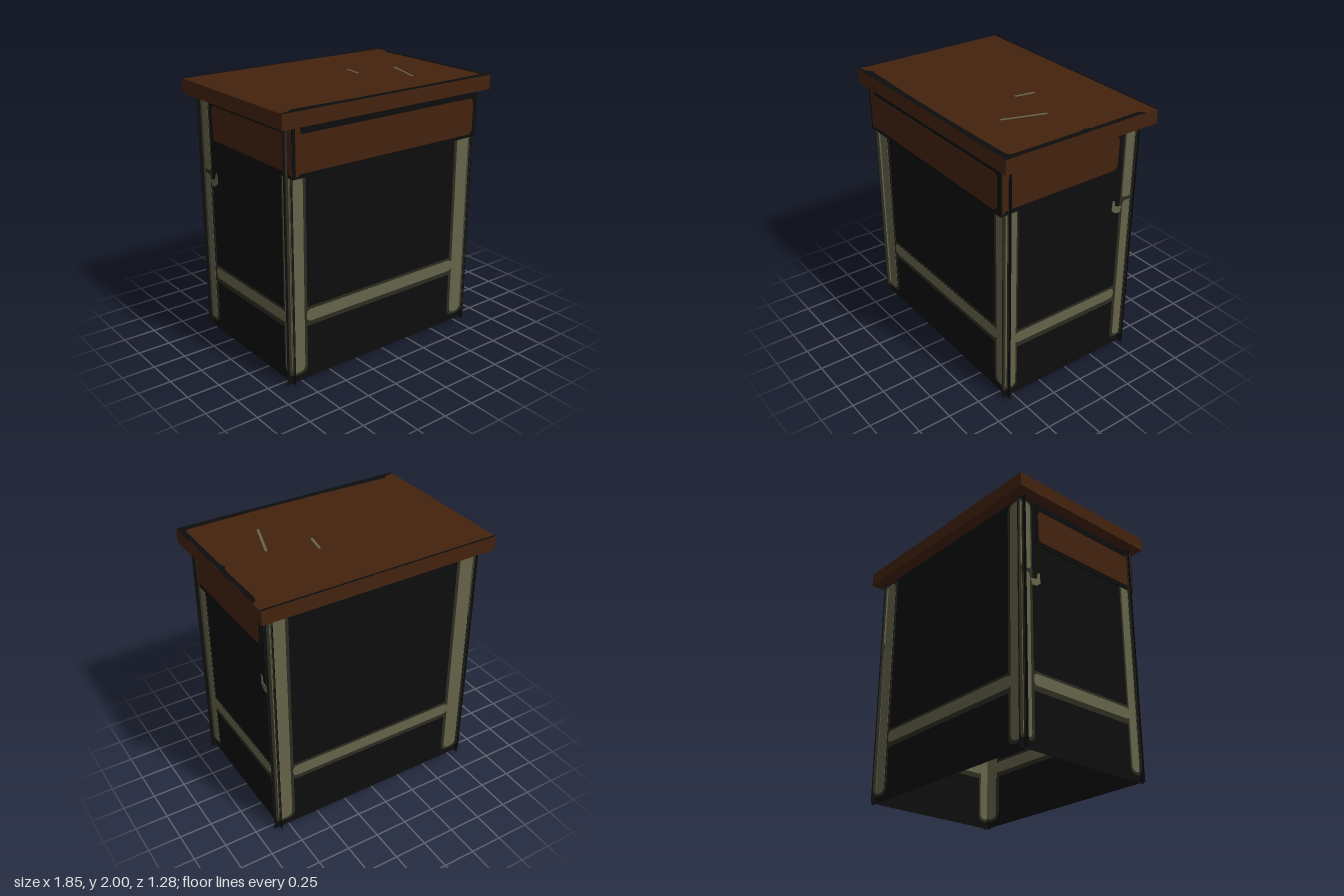
import * as THREE from 'three';

const material = (name, color, side = THREE.FrontSide) => {
  const m = new THREE.MeshStandardMaterial({ color, side });
  m.name = name;
  return m;
};

// Polygon outline from a few points
const outline = (pts) => new THREE.Shape(pts.map(([x, y]) => new THREE.Vector2(x, y)));

// Bar with rounded corners
function bar(x0, y0, x1, y1, r) {
  const s = new THREE.Shape();
  s.moveTo(x0 + r, y0);
  s.lineTo(x1 - r, y0);
  s.quadraticCurveTo(x1, y0, x1, y0 + r);
  s.lineTo(x1, y1 - r);
  s.quadraticCurveTo(x1, y1, x1 - r, y1);
  s.lineTo(x0 + r, y1);
  s.quadraticCurveTo(x0, y1, x0, y1 - r);
  s.lineTo(x0, y0 + r);
  s.quadraticCurveTo(x0, y0, x0 + r, y0);
  return s;
}

// Thin plate centred on its own plane, so it shows on both sides
function plate(name, shapes, mat, depth) {
  const g = new THREE.ExtrudeGeometry(shapes, { depth, bevelEnabled: false, curveSegments: 5 });
  g.translate(0, 0, -depth / 2);
  const mesh = new THREE.Mesh(g, mat);
  mesh.name = name;
  return mesh;
}

export function createModel() {
  const wood = material('brown wood', 0x43220e);
  const metal = material('olive metal', 0x656349);
  const edge = material('dark olive edge', 0x2c2c21);
  const black = material('black panel', 0x0d0d0d, THREE.DoubleSide);

  const model = new THREE.Group();
  model.name = 'desk';

  const box = (name, size, pos, mat, parent = model) => {
    const m = new THREE.Mesh(new THREE.BoxGeometry(...size), mat);
    m.position.set(...pos);
    m.name = name;
    parent.add(m);
    return m;
  };

  // Flat panel with painted legs and stretcher
  function panel(name, x0, x1, metalShapes, edgeShapes) {
    const g = new THREE.Group();
    g.name = name;
    const sheet = new THREE.Mesh(new THREE.PlaneGeometry(x1 - x0, 1.89), black);
    sheet.position.set((x0 + x1) / 2, 0.945, 0);
    sheet.name = 'panelSheet';
    g.add(sheet, plate('frameEdge', edgeShapes, edge, 0.004), plate('frameBars', metalShapes, metal, 0.008));
    model.add(g);
    return g;
  }

  // Front and back panels, the back one turned round
  for (const [name, z, turn] of [['frontPanel', 0.55, 0], ['backPanel', -0.545, Math.PI]]) {
    const p = panel(name, -0.868, 0.868,
      [
        bar(-0.83, 0.07, -0.715, 1.87, 0.05),
        bar(0.705, 0.07, 0.82, 1.87, 0.05),
        bar(-0.695, 0.45, 0.705, 0.54, 0.04),
      ],
      [
        bar(-0.85, 0.05, -0.69, 1.885, 0.06),
        bar(0.68, 0.05, 0.84, 1.885, 0.06),
        bar(-0.7, 0.415, 0.69, 0.56, 0.005),
      ]);
    p.position.z = z;
    p.rotation.y = turn;
  }

  // Side panels: local x runs along z
  for (const side of [1, -1]) {
    const label = side > 0 ? 'left' : 'right';
    const p = panel(label + 'SidePanel', -0.585, 0.59,
      [
        bar(0.475, 0.075, 0.565, 1.87, 0.04),
        bar(-0.552, 0.08, -0.475, 1.29, 0.035),
        bar(-0.56, 1.32, -0.465, 1.86, 0.03),
        bar(-0.45, 0.455, 0.48, 0.54, 0.035),
        // Small hook by the back leg
        outline([[-0.38, 1.32], [-0.375, 1.24], [-0.41, 1.21], [-0.45, 1.205], [-0.47, 1.25],
          [-0.43, 1.26], [-0.405, 1.27], [-0.4, 1.31]]),
      ],
      [
        bar(0.46, 0.055, 0.585, 1.885, 0.05),
        bar(-0.575, 0.06, -0.45, 1.88, 0.05),
        bar(-0.46, 0.415, 0.47, 0.56, 0.005),
      ]);
    p.position.x = side * 0.822;
    p.rotation.y = -Math.PI / 2;

    // Wooden side of the compartment
    const face = plate(label + 'CompartmentWood', outline([
      [0.6, 1.55], [0.565, 1.575], [-0.37, 1.575], [-0.39, 1.6], [-0.395, 1.8], [-0.375, 1.83],
      [0.54, 1.83], [0.56, 1.845], [0.565, 1.885], [0.6, 1.885],
    ]), wood, 0.006);
    face.position.x = side * 0.832;
    face.rotation.y = -Math.PI / 2;
    model.add(face);
  }

  // Compartment under the lid
  box('compartment', [1.664, 0.35, 1.02], [0, 1.715, 0.1], black);
  const front = plate('compartmentFrontWood', outline([
    [-0.81, 1.55], [-0.77, 1.57], [0.76, 1.565], [0.79, 1.59], [0.79, 1.81], [0.765, 1.837],
    [-0.765, 1.835], [-0.775, 1.885], [-0.81, 1.885],
  ]), wood, 0.006);
  front.position.z = 0.61;
  model.add(front);

  // Lid with worn dark borders and two scratches on top
  box('lid', [1.85, 0.108, 1.28], [0, 1.944, 0], wood);
  const flat = (name, pts, mat) => {
    const m = plate(name, outline(pts.map(([x, z]) => [x, -z])), mat, 0.004);
    m.rotation.x = -Math.PI / 2;
    m.position.y = 1.998;
    model.add(m);
  };
  flat('lidBorder', [
    [0.924, -0.53], [0.9, -0.52], [0.885, -0.48], [0.89, -0.07], [0.87, -0.03], [0.885, 0.02],
    [0.885, 0.56], [0.86, 0.59], [0.3, 0.6], [-0.3, 0.595], [-0.82, 0.58], [-0.86, 0.61],
    [-0.924, 0.625], [-0.924, 0.639], [0.924, 0.639],
  ], black);
  flat('lidBackBorder', [[-0.924, -0.639], [0.924, -0.639], [0.924, -0.625], [-0.924, -0.625]], black);
  flat('shortScratch', [[0.175, 0.01], [0.195, 0.01], [0.22, -0.145], [0.2, -0.145]], metal);
  flat('longScratch', [[0.43, 0.325], [0.45, 0.325], [0.55, 0.01], [0.53, 0.01]], metal);

  return model;
}
